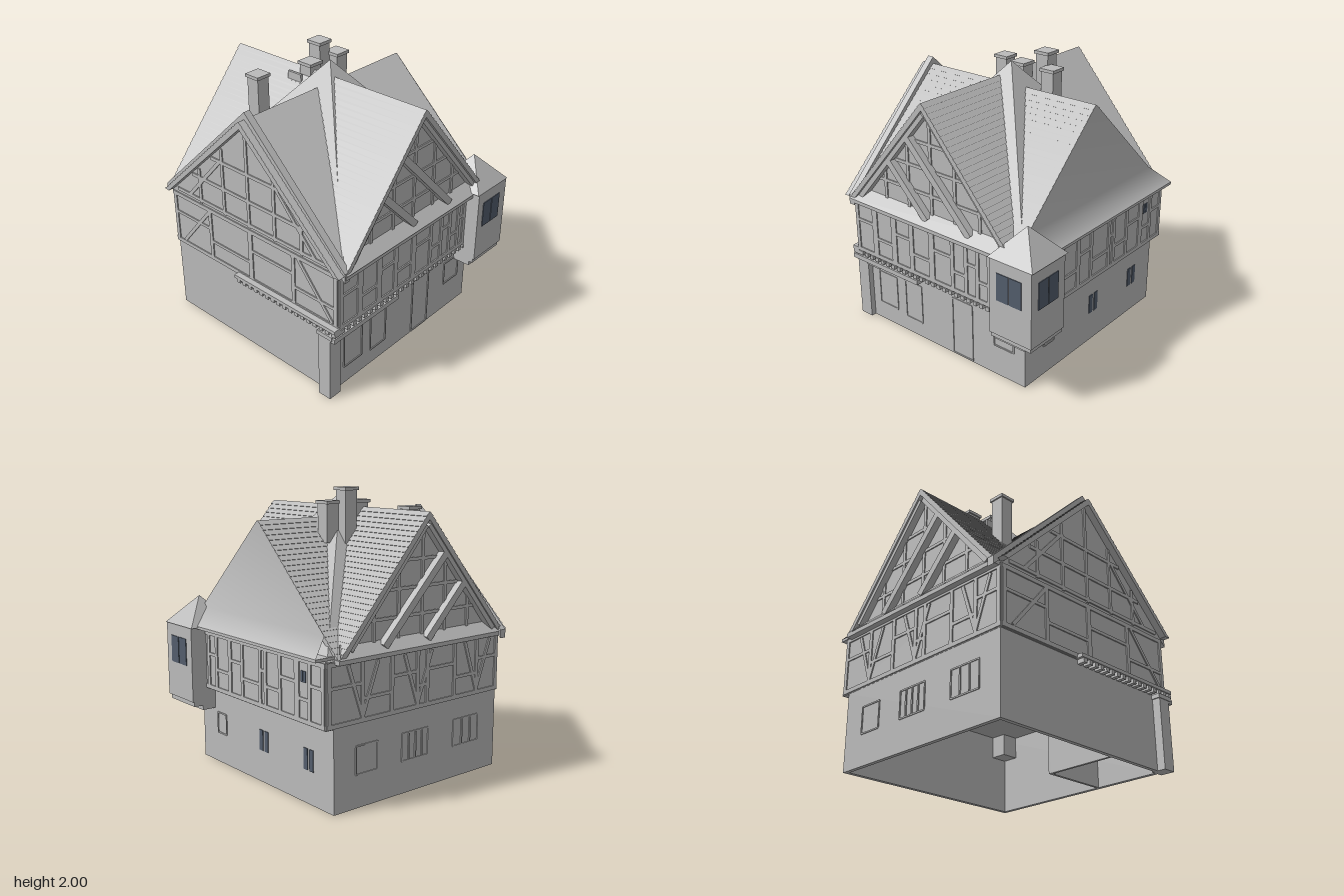
import * as THREE from 'three';

export function createModel() {
  const house = new THREE.Group();
  house.name = 'timberHouse';
  const stone = new THREE.MeshStandardMaterial({ color: 0xbbbbbb, side: THREE.DoubleSide });
  stone.name = 'paleGrey';
  const glass = new THREE.MeshStandardMaterial({ color: 0x535d6c });
  glass.name = 'glass';

  const add = (name, geo, parent = house, mat = stone) => {
    const m = new THREE.Mesh(geo, mat);
    m.name = name;
    parent.add(m);
    return m;
  };
  // box given by its min and max on each axis
  const box = (name, x0, x1, y0, y1, z0, z1, parent, mat) => {
    const m = add(name, new THREE.BoxGeometry(x1 - x0, y1 - y0, z1 - z0), parent, mat);
    m.position.set((x0 + x1) / 2, (y0 + y1) / 2, (z0 + z1) / 2);
    return m;
  };
  const extrude = (pts, depth) => new THREE.ExtrudeGeometry(
    new THREE.Shape(pts.map(p => new THREE.Vector2(...p))), { depth, bevelEnabled: false });
  // straight beam between two points of a wall, standing out from its face
  const beam = (parent, x1, y1, x2, y2, w = 0.025, d = 0.008, name = 'timber') => {
    const m = add(name, new THREE.BoxGeometry(Math.hypot(x2 - x1, y2 - y1), w, d), parent);
    m.position.set((x1 + x2) / 2, (y1 + y2) / 2, d / 2);
    m.rotation.z = Math.atan2(y2 - y1, x2 - x1);
  };
  // group whose local +z points out of a wall
  const face = (name, angle, x, z) => {
    const g = new THREE.Group();
    g.name = name;
    g.rotation.y = angle;
    g.position.set(x, 0, z);
    house.add(g);
    return g;
  };
  // faces from corner points, with soft or hard edges
  const faces = (pts, index, smooth = false) => {
    const g = new THREE.BufferGeometry();
    g.setAttribute('position', new THREE.Float32BufferAttribute(pts.flat(), 3));
    g.setIndex(index);
    const out = smooth ? g : g.toNonIndexed();
    out.computeVertexNormals();
    return out;
  };
  const frame = (g, u, y, w, h) => {
    for (const s of [-1, 1]) {
      beam(g, u + s * w / 2, y - h / 2, u + s * w / 2, y + h / 2, 0.01, 0.006, 'windowFrame');
      beam(g, u - w / 2, y + s * h / 2, u + w / 2, y + s * h / 2, 0.01, 0.006, 'windowFrame');
    }
  };
  const pane = (g, u, y, w, h, gap) => {
    for (const s of [-1, 1]) {
      const a = u + s * gap, b = u + s * w / 2;
      box('windowPane', Math.min(a, b), Math.max(a, b), y - h / 2, y + h / 2, 0, 0.005, g, glass);
    }
  };

  // Ground floor: hollow walls, open below, with a small inner room
  const plan = new THREE.Shape([[-0.81, -0.7], [0.68, -0.7], [0.68, 0.81], [-0.81, 0.81]].map(p => new THREE.Vector2(...p)));
  plan.holes.push(new THREE.Path([[-0.78, -0.67], [-0.78, 0.78], [0.65, 0.78], [0.65, -0.67]].map(p => new THREE.Vector2(...p))));
  add('groundFloorWalls', new THREE.ExtrudeGeometry(plan, { depth: 0.56, bevelEnabled: false }).rotateX(-Math.PI / 2));
  box('innerWall', -0.28, -0.26, 0, 0.5, 0.18, 0.68);
  box('innerWall', -0.79, -0.26, 0, 0.5, 0.18, 0.2);
  box('cornerPost', -0.87, -0.765, 0, 0.5, 0.64, 0.74);
  box('cornerPostCap', -0.875, -0.755, 0.5, 0.53, 0.63, 0.76);
  box('upperFloor', -0.82, 0.745, 0.56, 1.0, -0.812, 0.77);

  // Front shelf and joists
  box('shopCanopy', -0.87, -0.22, 0.485, 0.52, 0.7, 0.78);
  box('canopyBracket', -0.765, -0.63, 0.45, 0.485, 0.7, 0.75);
  for (let x = -0.8; x < 0.53; x += 0.055) box('frontJoist', x, x + 0.03, 0.53, 0.56, 0.7, 0.78);
  box('leftSill', -0.87, -0.81, 0.56, 0.585, -0.15, 0.78);
  for (let z = -0.13; z < 0.76; z += 0.055) box('leftJoist', -0.865, -0.8, 0.53, 0.56, z, z + 0.03);

  // Timber framing of the upper floor
  const walls = {
    front: face('frontTimbers', 0, 0, 0.77),
    back: face('backTimbers', Math.PI, 0, -0.812),
    right: face('rightTimbers', Math.PI / 2, 0.745, 0),
    left: face('leftTimbers', -Math.PI / 2, -0.82, 0),
  };
  const posts = {
    front: [[-0.8, 0.03], [-0.62, 0.05], [-0.43, 0.05], [-0.26, 0.04], [-0.07, 0.05], [0.12, 0.03], [0.24, 0.03], [0.34, 0.03], [0.44, 0.03], [0.51, 0.03]],
    back: [[-0.72, 0.03], [-0.45, 0.03], [-0.2, 0.03], [0.03, 0.03], [0.12, 0.03], [0.38, 0.03], [0.6, 0.03], [0.8, 0.03]],
    right: [[-0.5, 0.03], [-0.4, 0.03], [-0.23, 0.04], [-0.08, 0.03], [0.13, 0.03], [0.19, 0.03], [0.35, 0.03], [0.53, 0.05], [0.66, 0.03], [0.79, 0.03]],
    left: [[-0.79, 0.03], [-0.42, 0.03], [-0.02, 0.04], [0.38, 0.03], [0.75, 0.03]],
  };
  const span = { front: [-0.82, 0.55], back: [-0.74, 0.82], right: [-0.55, 0.81], left: [-0.81, 0.77] };
  for (const [side, g] of Object.entries(walls)) {
    for (const [u, w] of posts[side]) beam(g, u, 0.585, u, 0.97, w);
    const [a, b] = span[side];
    for (const y of [0.58, 0.97]) beam(g, a, y, b, y, 0.03);
    // short rails in alternate bays
    posts[side].slice(1).forEach(([u], i) => {
      const p = posts[side][i][0];
      beam(g, p, i % 2 ? 0.72 : 0.82, u, i % 2 ? 0.72 : 0.82, 0.022);
    });
  }
  for (const u of [-0.45, 0.03, 0.6]) {
    beam(walls.back, u, 0.6, u + 0.13, 0.95);
    beam(walls.back, u, 0.6, u - 0.12, 0.95);
  }
  for (const s of [-1, 1]) beam(walls.left, s * 0.72, 0.6, s * 0.42, 0.96);

  // Ground floor windows and doors
  const groundRight = face('groundRightWindows', Math.PI / 2, 0.68, 0);
  for (const u of [0.068, 0.56]) pane(groundRight, u, 0.3, 0.1, 0.145, 0.01);
  frame(groundRight, -0.45, 0.3, 0.11, 0.15);
  pane(walls.right, 0.595, 0.865, 0.048, 0.072, 0.002);
  const groundBack = face('groundBackWindows', Math.PI, 0, -0.81);
  for (const [u, w, n] of [[-0.41, 0.18, 0], [0.02, 0.24, 3], [0.51, 0.25, 2]]) {
    frame(groundBack, u, 0.32, w, 0.19);
    for (let i = 1; i < n + 1; i++) beam(groundBack, u - w / 2 + i * w / (n + 1), 0.23, u - w / 2 + i * w / (n + 1), 0.41, 0.012);
  }
  const groundFront = face('groundFrontOpenings', 0, 0, 0.7);
  for (const [u, y, w, h] of [[-0.6, 0.27, 0.18, 0.26], [-0.34, 0.27, 0.16, 0.3], [0.13, 0.23, 0.18, 0.44], [0.5, 0.32, 0.17, 0.18]]) frame(groundFront, u, y, w, h);

  // Roof slopes with stepped tile courses
  const steppedRoof = (ridge, ridgeY, left, right, eaveY, rows, depth) => {
    const pts = [];
    const lip = 0.006;
    const at = (edge, t, out) => [edge + (ridge - edge) * t + out, eaveY + (ridgeY - eaveY) * t + Math.abs(out) / 2];
    for (let i = 0; i < rows; i++) pts.push(at(left, i / rows, -lip), at(left, (i + 1) / rows, 0));
    for (let i = rows - 1; i >= 0; i--) {
      if (i < rows - 1) pts.push(at(right, (i + 1) / rows, 0));
      pts.push(at(right, i / rows, lip));
    }
    pts.push([right - 0.04, eaveY], [ridge, ridgeY - 0.05], [left + 0.04, eaveY]);
    return extrude(pts, depth);
  };
  add('frontBackRoof', steppedRoof(-0.07, 1.86, -0.81, 0.67, 1.0, 28, 1.68)).position.z = -0.86;
  add('leftRightRoof', steppedRoof(0.02, 1.79, -0.81, 0.84, 1.0, 26, 1.545).rotateY(Math.PI / 2)).position.x = -0.87;
  // Hipped core whose corners fill the valleys
  add('hippedCore', faces([[-0.03, 1.95, -0.02], [-0.8, 0.99, 0.79], [0.74, 0.99, 0.79], [0.74, 0.99, -0.82], [-0.8, 0.99, -0.82]],
    [0, 1, 2, 0, 2, 3, 0, 3, 4, 0, 4, 1]));

  // Raised verge over the left gable
  add('leftVerge', extrude([[-0.82, 0.95], [-0.82, 1.02], [0.02, 1.84], [0.88, 1.01], [0.88, 0.95], [0.02, 1.75]], 0.05)
    .rotateY(Math.PI / 2)).position.x = -0.82;

  // Gable walls
  const gableZ = [[-0.79, 1.0], [0.65, 1.0], [-0.07, 1.83]];
  add('frontGable', extrude(gableZ, 0.02)).position.z = 0.73;
  add('backGable', extrude(gableZ, 0.02)).position.z = -0.8;
  add('leftGable', extrude([[-0.79, 1.0], [0.81, 1.0], [0.02, 1.77]], 0.02).rotateY(Math.PI / 2)).position.x = -0.82;
  // Right gable flares softly into its skirt
  add('rightGable', faces([[0.68, 1.79, -0.02], [0.68, 1.13, 0.68], [0.68, 1.13, -0.72], [0.82, 1.02, 0.78], [0.82, 1.02, -0.81]],
    [0, 1, 2, 1, 3, 4, 1, 4, 2], true));
  box('rightEave', 0.66, 0.82, 1.0, 1.02, -0.81, 0.78);

  // Framing and sloping beams on the gables
  const gf = face('frontGableTimbers', 0, 0, 0.75);
  const gb = face('backGableTimbers', Math.PI, 0, -0.8);
  for (const [g, s] of [[gf, 1], [gb, -1]]) {
    const b = (x1, y1, x2, y2, w, d, n) => beam(g, s * x1, y1, s * x2, y2, w, d, n);
    b(-0.05, 1.78, 0.58, 1.05, 0.05, 0.05, 'bargeBoard');
    b(-0.09, 1.78, -0.73, 1.03, 0.05, 0.05, 'bargeBoard');
    b(-0.25, 1.59, 0.29, 1.03, 0.05, 0.05, 'slopingBeam');
    b(-0.43, 1.38, -0.09, 1.03, 0.05, 0.05, 'slopingBeam');
    for (const x of [-0.5, -0.28, -0.07, 0.14, 0.35]) b(x, 1.03, x, 1.8 - Math.abs(x + 0.07) * 1.15);
    for (const y of [1.2, 1.38, 1.56]) b(-0.07 - (1.83 - y) / 1.18, y, -0.07 + (1.83 - y) / 1.18, y, 0.022);
  }
  const gl = face('leftGableTimbers', -Math.PI / 2, -0.82, 0);
  for (const u of [-0.5, -0.26, -0.02, 0.22, 0.46]) beam(gl, u, 1.0, u, 1.74 - Math.abs(u + 0.02) * 0.98);
  for (const y of [1.02, 1.2, 1.4]) beam(gl, -0.02 - (1.75 - y), y, -0.02 + (1.75 - y), y);
  for (const s of [-1, 1]) beam(gl, -0.02 + s * 0.6, 1.02, -0.02 + s * 0.26, 1.4);

  // Pent skirts below the front and back gables
  const quad = [0, 1, 2, 0, 2, 3];
  add('frontSkirt', faces([[-0.81, 1.0, 0.83], [0.62, 1.0, 0.83], [0.6, 1.08, 0.74], [-0.76, 1.08, 0.74]], quad));
  add('backSkirt', faces([[0.68, 1.0, -0.87], [-0.81, 1.0, -0.87], [-0.76, 1.08, -0.79], [0.62, 1.08, -0.79]], quad));
  box('frontEave', -0.81, 0.62, 0.97, 1.0, 0.76, 0.825);
  box('backEave', -0.81, 0.68, 0.97, 1.0, -0.865, -0.8);

  // Corner bay with stepped corbel and pyramid roof
  box('bayWalls', 0.53, 0.867, 0.47, 1.01, 0.54, 0.877);
  box('bayCorbelUpper', 0.53, 0.855, 0.435, 0.475, 0.54, 0.865);
  box('bayCorbelLower', 0.53, 0.785, 0.4, 0.44, 0.54, 0.835);
  const cone = new THREE.ConeGeometry(0.18 * Math.SQRT2, 0.2, 4).rotateY(Math.PI / 4).toNonIndexed();
  cone.computeVertexNormals();
  add('bayRoof', cone).position.set(0.695, 1.11, 0.7);
  const bayFront = face('bayFrontWindow', 0, 0, 0.877);
  const bayRight = face('bayRightWindow', Math.PI / 2, 0.867, 0);
  for (const [g, u] of [[bayFront, 0.69], [bayRight, -0.71]]) pane(g, u, 0.825, 0.2, 0.195, 0.004);

  // Chimneys
  for (const [x, z, top, foot] of [[-0.37, -0.365, 1.86, 1.3], [-0.06, -0.175, 1.91, 1.6], [0.1, -0.24, 2.0, 1.5], [0.2, -0.17, 1.91, 1.63]]) {
    box('chimney', x - 0.05, x + 0.05, foot, top - 0.01, z - 0.05, z + 0.05);
    box('chimneyCap', x - 0.06, x + 0.06, top - 0.022, top, z - 0.06, z + 0.06);
  }
  box('ridgeSlab', -0.15, -0.132, 1.7, 1.83, -0.3, -0.18);
  return house;
}
